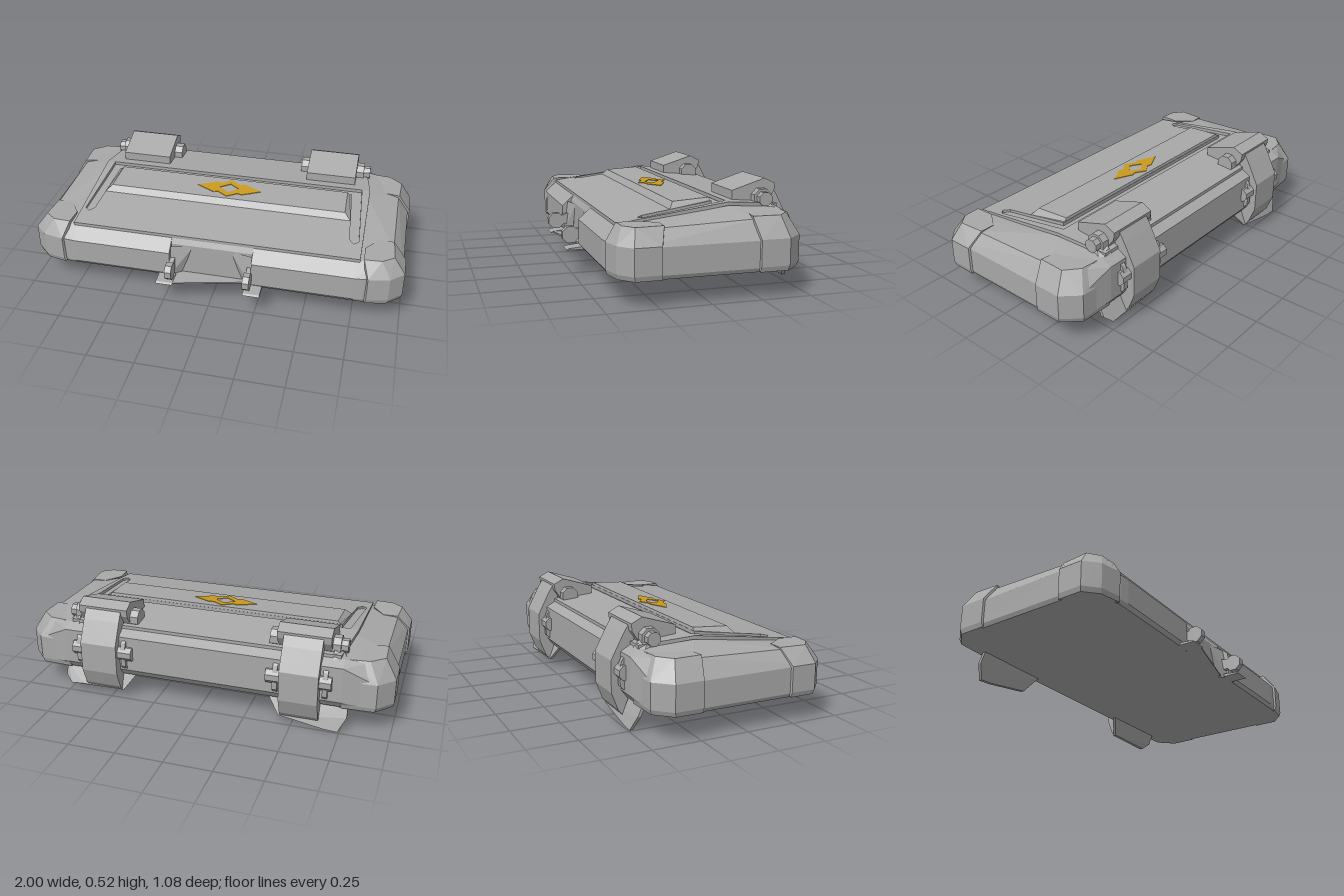
import * as THREE from 'three';
import { ConvexGeometry } from 'three/addons/geometries/ConvexGeometry.js';

const grey = new THREE.MeshStandardMaterial({ color: 0xa8a8a8 });
grey.name = 'grey metal';
const gold = new THREE.MeshStandardMaterial({ color: 0xc99a1e });
gold.name = 'gold paint';

const V = (x, y, z) => new THREE.Vector3(x, y, z);

function add(parent, name, geometry, material = grey) {
  const mesh = new THREE.Mesh(geometry, material);
  mesh.name = name;
  parent.add(mesh);
  return mesh;
}

// Faceted solid around [x, y, z] points; s = -1 mirrors it to the right side
const hull = (points, s = 1) => new ConvexGeometry(points.map(([x, y, z]) => V(x * s, y, z)));

// Solid with a [z, y] outline running from x0 to x1
const bar = (outline, x0, x1, s = 1) =>
  hull(outline.flatMap(([z, y]) => [[x0, y, z], [x1, y, z]]), s);

// Slab with an [x, z] outline whose top follows heightAt(z)
function slab(outline, heightAt, thickness, hole) {
  const toShape = pts => pts.map(([x, z]) => new THREE.Vector2(x, -z));
  const shape = new THREE.Shape(toShape(outline));
  if (hole) shape.holes.push(new THREE.Path(toShape(hole)));
  const g = new THREE.ExtrudeGeometry(shape, { depth: thickness, bevelEnabled: false });
  g.rotateX(-Math.PI / 2);
  const p = g.attributes.position;
  for (let i = 0; i < p.count; i++) p.setY(i, heightAt(p.getZ(i)) - thickness + p.getY(i));
  g.computeVertexNormals();
  return g;
}

// Eight-sided pin along x with flat facets
function pin(x0, x1, y, z, r, s) {
  const g = new THREE.CylinderGeometry(r, r, x1 - x0, 8).toNonIndexed();
  g.rotateY(Math.PI / 8);
  g.rotateZ(Math.PI / 2);
  g.translate(s * (x0 + x1) / 2, y, z);
  g.computeVertexNormals();
  return g;
}

const deckY = z => 0.355 + (0.39 - z) * 0.135;
const backDeckY = z => 0.43 + (z + 0.165) * 0.09;
const panelY = z => 0.431 - z * 0.06;

// Rear and top outline shared by the shell sections
const rearOutline = [
  [0.39, 0.338], [-0.165, 0.41], [-0.44, 0.388],
  [-0.49, 0.36], [-0.49, 0.17], [-0.46, 0.13],
];
const frontOutline = [[0.44, 0.13], [0.455, 0.15], [0.455, 0.28]];
const nicheOutline = [[0.405, 0.13], [0.405, 0.31]];

function addShell(group) {
  add(group, 'shellMiddle', bar([...nicheOutline, ...rearOutline], -0.22, 0.22));
  for (const s of [1, -1]) {
    const inner = [...frontOutline, ...rearOutline]
      .flatMap(([z, y]) => [[0.22, y, z], [0.75, y, z]]);
    const end = [];
    for (const [x, z] of [[0.8, 0.45], [0.92, 0.425], [0.99, 0.36], [0.99, -0.38], [0.91, -0.46]])
      end.push([x - 0.01, 0.13, z * 0.98], [x, 0.15, z], [x, 0.28, z]);
    end.push([0.86, 0.345, 0.38], [0.93, 0.355, 0.25], [0.93, 0.372, -0.25], [0.86, 0.375, -0.42]);
    add(group, 'shellSide', hull([...inner, ...end], s));

    // Raised corner guards
    const guards = {
      frontCorner: {
        base: [[0.82, 0.458], [0.93, 0.435], [1, 0.37], [1, 0.24]],
        top: [[0.79, 0.4], [0.88, 0.395], [0.94, 0.35], [0.93, 0.21], [0.85, 0.21], [0.785, 0.3]],
        y: 0.366,
      },
      backCorner: {
        base: [[0.75, -0.478], [0.92, -0.47], [1, -0.385], [1, -0.24]],
        top: [[0.77, -0.43], [0.87, -0.42], [0.94, -0.36], [0.935, -0.22], [0.81, -0.24]],
        y: 0.386,
      },
    };
    for (const [name, { base, top, y }] of Object.entries(guards)) {
      const pts = top.map(([x, z]) => [x, y, z]);
      for (const [x, z] of base)
        pts.push([x - 0.008, 0.13, z * 0.985], [x, 0.155, z], [x, 0.285, z]);
      add(group, name, hull(pts, s));
    }
  }
}

function addTop(group) {
  // Front deck, with a U-shaped groove left open around the panel
  const half = [[0.77, 0.39], [0.77, -0.165], [0.725, -0.165], [0.75, 0.26], [0.725, 0.28], [0.7, 0.25], [0.675, -0.115]];
  const mirrored = half.map(([x, z]) => [-x, z]).reverse();
  add(group, 'frontDeck', slab([...half, ...mirrored], deckY, 0.018));
  add(group, 'backDeck',
    slab([[0.77, -0.165], [0.73, -0.44], [-0.73, -0.44], [-0.77, -0.165]], backDeckY, 0.018));

  // Raised centre panel with bevelled front and ends
  const panel = [];
  for (const s of [1, -1])
    panel.push([s * 0.69, 0.393, 0.105], [s * 0.655, panelY(0.08), 0.08],
      [s * 0.675, 0.41, -0.115], [s * 0.65, panelY(-0.11), -0.11]);
  add(group, 'raisedPanel', hull(panel));

  // Painted diamond ornament
  const edge = [[-0.18, 0], [-0.08, -0.05], [-0.055, -0.042], [0, -0.078], [0.055, -0.042], [0.08, -0.05],
    [0.18, 0], [0.08, 0.05], [0.055, 0.042], [0, 0.078], [-0.055, 0.042], [-0.08, 0.05]];
  const hole = [[-0.055, 0], [0, 0.04], [0.055, 0], [0, -0.04]];
  const shift = pts => pts.map(([x, z]) => [x, z - 0.015]);
  add(group, 'diamondInlay', slab(shift(edge), z => panelY(z) + 0.003, 0.005, shift(hole)), gold);
}

function addFrontCatch(group) {
  for (const s of [1, -1]) {
    add(group, 'catchBarrel', pin(0.19, 0.225, 0.2, 0.498, 0.047, s));
    add(group, 'catchArm', bar([[0.4, 0.17], [0.4, 0.25], [0.49, 0.22], [0.49, 0.18]], 0.195, 0.22, s));
    add(group, 'catchTab', bar([[0.44, 0.13], [0.53, 0.13], [0.52, 0.138], [0.44, 0.146]], 0.19, 0.28, s));
    add(group, 'nicheGusset', hull([[0.225, 0.13, 0.45], [0.225, 0.305, 0.425], [0.225, 0.13, 0.4],
      [0.17, 0.13, 0.4], [0.1, 0.305, 0.4], [0.17, 0.13, 0.41]], s));
  }
  add(group, 'catchPlate',
    slab([[-0.2, 0.4], [-0.2, 0.52], [0.17, 0.43], [0.17, 0.4]], () => 0.138, 0.008));
}

function addHinge(group, s) {
  const hinge = new THREE.Group();
  hinge.name = s > 0 ? 'leftHinge' : 'rightHinge';
  group.add(hinge);

  add(hinge, 'hingeCover', bar([[-0.22, 0.425], [-0.22, 0.47], [-0.395, 0.525],
    [-0.452, 0.497], [-0.448, 0.46], [-0.4, 0.39]], 0.405, 0.68, s));
  add(hinge, 'hingePin', pin(0.36, 0.72, 0.43, -0.37, 0.05, s));
  add(hinge, 'pinCap', pin(0.72, 0.755, 0.43, -0.37, 0.036, s));
  add(hinge, 'pinMount', hull([[0.69, 0.36, -0.31], [0.69, 0.36, -0.47], [0.78, 0.36, -0.45],
    [0.75, 0.36, -0.34], [0.69, 0.42, -0.34], [0.69, 0.42, -0.42], [0.74, 0.405, -0.4]], s));

  // Rear clasp wrapping over the back edge
  add(hinge, 'claspArm', bar([[-0.42, 0.43], [-0.45, 0.485], [-0.48, 0.435], [-0.54, 0.32],
    [-0.54, 0.16], [-0.505, 0.07], [-0.485, 0.045], [-0.45, 0.13]], 0.44, 0.64, s));
  add(hinge, 'claspPin', pin(0.365, 0.7, 0.27, -0.487, 0.04, s));
  for (const x of [0.4, 0.655])
    add(hinge, 'claspBracket', bar([[-0.46, 0.37], [-0.5, 0.33], [-0.515, 0.29],
      [-0.51, 0.2], [-0.46, 0.15]], x, x + 0.025, s));

  // Flared tongue below the clasp, longer on the right side
  const tip = s > 0 ? 0.04 : 0;
  const tongue = [];
  for (const d of [0, 0.018])
    tongue.push([0.365, 0.13, -0.425 - d], [0.78, 0.13, -0.425 - d], [0.78, 0.075, -0.45 - d],
      [0.74, tip, -0.475 - d], [0.67, tip + 0.005, -0.475 - d], [0.43, 0.042, -0.468 - d]);
  add(hinge, 'claspTongue', hull(tongue, s));
}

export function createModel() {
  const group = new THREE.Group();
  group.name = 'caseLid';
  addShell(group);
  addTop(group);
  addFrontCatch(group);
  addHinge(group, 1);
  addHinge(group, -1);
  return group;
}
